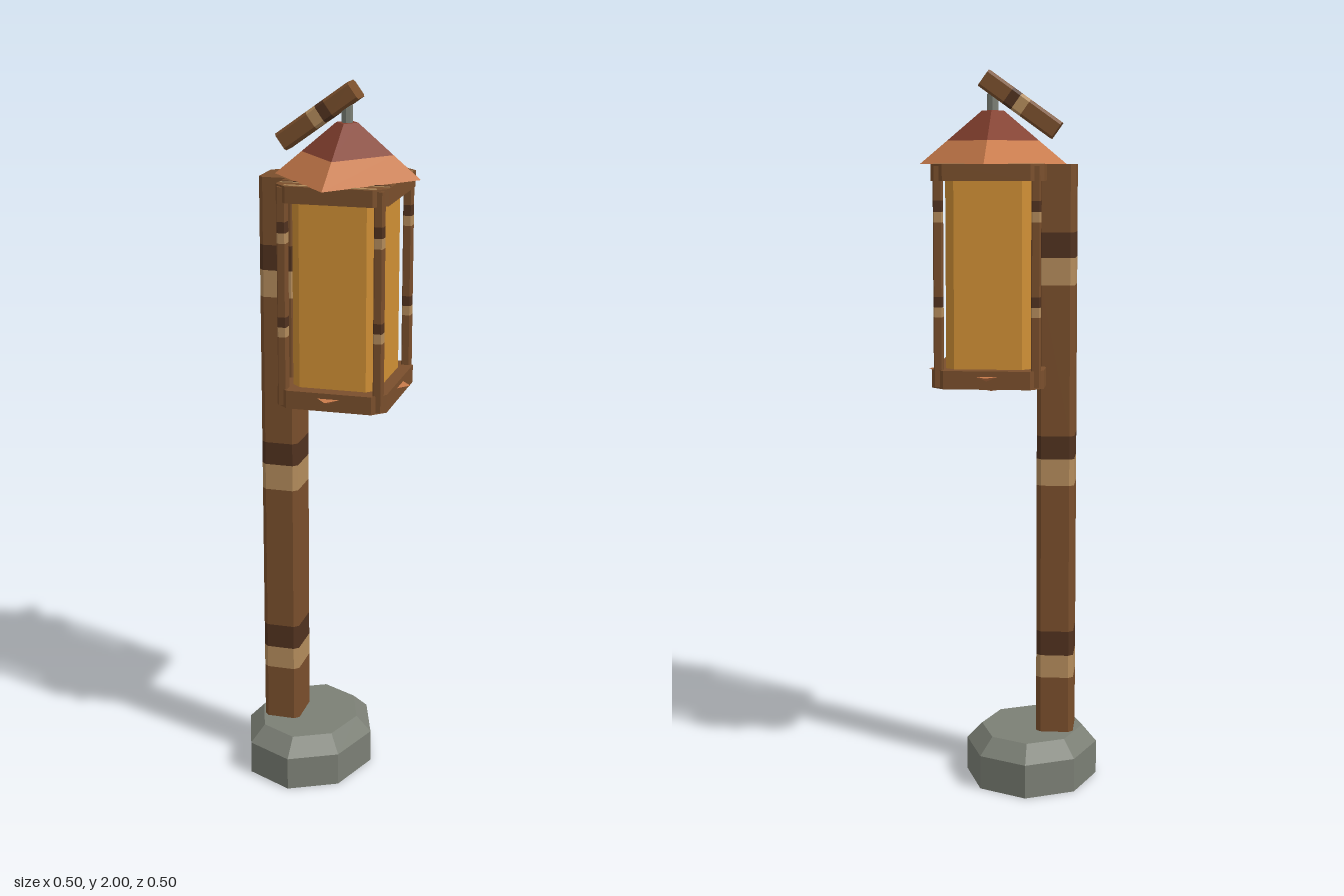
import * as THREE from 'three';

const mat = (name, color) => Object.assign(new THREE.MeshStandardMaterial({ color }), { name });

export function createModel() {
  const wood = mat('wood', 0x7a4f2c);
  const darkWood = mat('darkWood', 0x51321f);
  const paleWood = mat('paleWood', 0xb48c5c);
  const amber = mat('amberGlass', 0xd09035);
  const red = mat('roofRed', 0x84402f);
  const orange = mat('roofOrange', 0xc87a4a);
  const stone = mat('stone', 0x7b7f75);

  const model = new THREE.Group();
  const CX = 0.047; // lantern centre line

  function add(parent, name, geometry, material, x = 0, y = 0, z = 0) {
    const mesh = new THREE.Mesh(geometry, material);
    mesh.name = name;
    mesh.position.set(x, y, z);
    parent.add(mesh);
    return mesh;
  }

  // Upright prism from y0 to y1 with a corner-cut rectangular plan
  function prism(w, d, cut, y0, y1) {
    const a = w / 2, b = d / 2, c = cut;
    const pts = [[-a + c, -b], [a - c, -b], [a, -b + c], [a, b - c],
      [a - c, b], [-a + c, b], [-a, b - c], [-a, -b + c]];
    const shape = new THREE.Shape(pts.map(([x, y]) => new THREE.Vector2(x, y)));
    return new THREE.ExtrudeGeometry(shape, { depth: y1 - y0, bevelEnabled: false })
      .rotateX(-Math.PI / 2).translate(0, y0, 0);
  }

  // Faceted frustum with an elliptical plan; radii are given along z
  function frustum(sides, rTop, rBottom, y0, y1, squash, open = false) {
    const g = new THREE.CylinderGeometry(rTop, rBottom, y1 - y0, sides, 1, open)
      .scale(squash, 1, 1).translate(0, (y0 + y1) / 2, 0).toNonIndexed();
    g.computeVertexNormals();
    return g;
  }

  // Timber with painted bands: each band is [pale start, dark start, dark end]
  function timber(name, w, d, cut, y0, y1, bands) {
    const group = new THREE.Group();
    group.name = name;
    let y = y0;
    const piece = (to, m, label) => {
      add(group, label, prism(w, d, cut, y, to), m);
      y = to;
    };
    for (const [p, q, r] of bands) {
      piece(p, wood, name + 'Wood');
      piece(q, paleWood, name + 'PaleBand');
      piece(r, darkWood, name + 'DarkBand');
    }
    piece(y1, wood, name + 'Wood');
    model.add(group);
    return group;
  }

  // Stone footing
  add(model, 'footing', frustum(8, 0.23, 0.23, 0, 0.095, 0.813), stone, -0.063);
  add(model, 'footingBevel', frustum(8, 0.177, 0.23, 0.095, 0.14, 0.813), stone, -0.063);

  // Main post
  timber('mainPost', 0.105, 0.13, 0.013, 0.13, 1.745,
    [[0.3, 0.365, 0.435], [0.855, 0.93, 0.995], [1.415, 1.49, 1.56]]).position.x = -0.1325;

  // Lantern frame plates and glass
  add(model, 'lanternFloor', prism(0.307, 0.376, 0.035, 1.14, 1.19), wood, CX);
  add(model, 'lanternCeiling', prism(0.307, 0.376, 0.035, 1.7, 1.745), wood, CX);
  add(model, 'glass', prism(0.236, 0.292, 0.025, 1.19, 1.7), amber, CX);

  // Grain stripes on the ceiling plate
  for (const s of [-1, 1]) {
    for (const [z, d, m] of [[0.172, 0.012, paleWood], [0.128, 0.007, paleWood], [0.118, 0.01, darkWood]]) {
      add(model, 'ceilingStripe', new THREE.BoxGeometry(z > 0.15 ? 0.25 : 0.3, 0.002, d), m, CX, 1.7455, s * z);
    }
  }

  // Corner posts of the lantern
  for (const sx of [-1, 1]) for (const sz of [-1, 1]) {
    timber('cornerPost', 0.025, 0.03, 0.003, 1.145, 1.74,
      [[1.335, 1.362, 1.39], [1.59, 1.618, 1.648]]).position.set(CX + sx * 0.1325, 0, sz * 0.163);
  }

  // Two-tone pyramid roof and the inverted pyramid below the floor
  add(model, 'roofEaves', frustum(4, 0.157, 0.25, 1.745, 1.808, 0.813), orange, CX);
  add(model, 'roofPeak', frustum(4, 0.037, 0.157, 1.808, 1.89, 0.813), red, CX);
  add(model, 'lowerPyramid', frustum(4, 0.225, 0.06, 1.12, 1.175, 0.813), orange, CX);

  // Stub and tilted beam on top
  add(model, 'stub', frustum(8, 0.016, 0.016, 1.885, 1.935, 1), stone, CX);
  const beam = timber('topBeam', 0.053, 0.074, 0.007, -0.123, 0.123, [[-0.018, 0.012, 0.04]]);
  beam.rotation.z = THREE.MathUtils.degToRad(35.5 - 90);
  beam.position.set(-0.03, 1.906, 0);

  return model;
}
